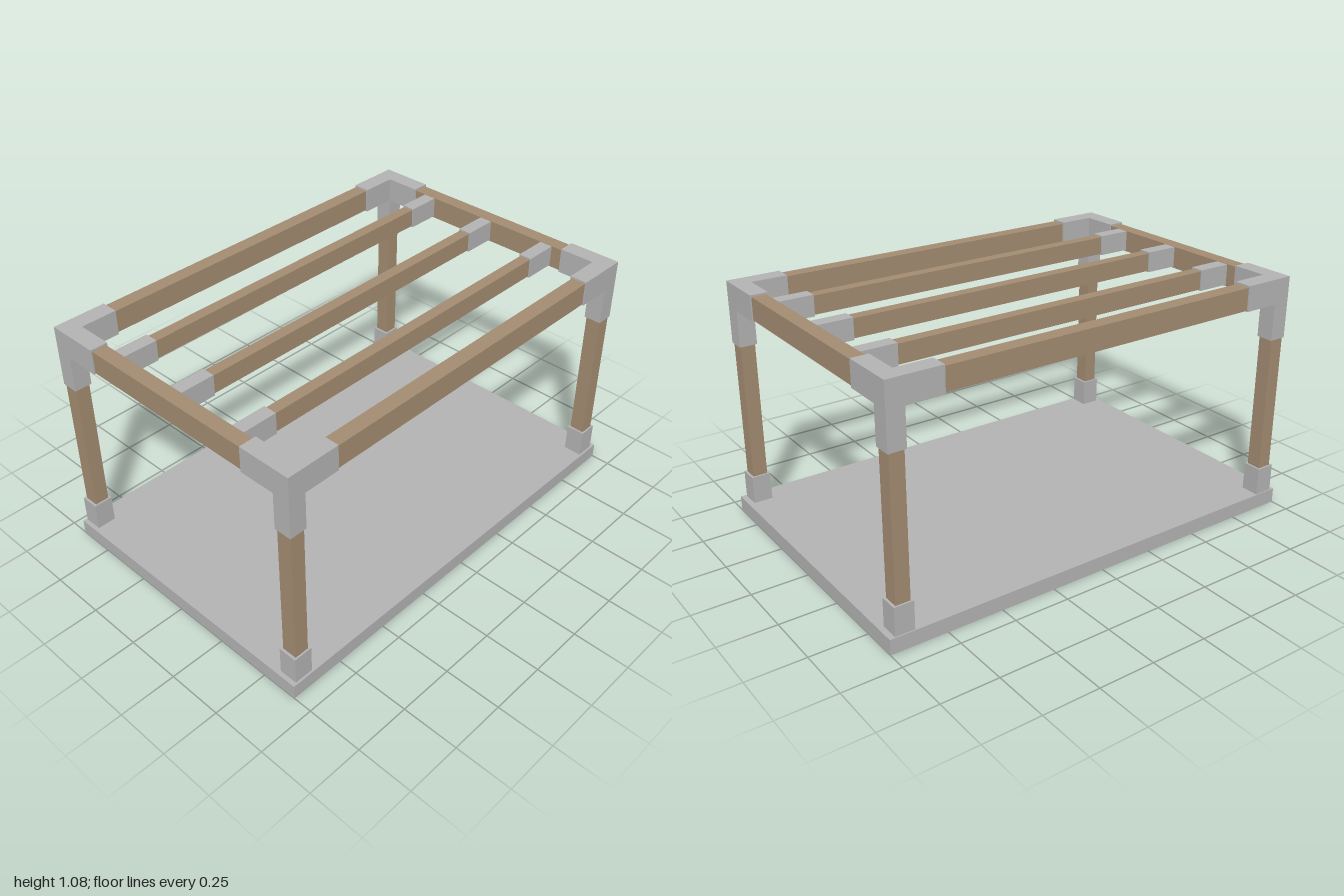
import * as THREE from 'three';

export function createModel() {
  const metal = new THREE.MeshStandardMaterial({ name: 'grey', color: 0xb3b3b3 });
  const wood = new THREE.MeshStandardMaterial({ name: 'timber', color: 0xa38c72 });
  const model = new THREE.Group();
  model.name = 'pergola';

  // Box given by its extents on each axis
  function box(name, parent, material, [x0, x1], [y0, y1], [z0, z1]) {
    const mesh = new THREE.Mesh(
      new THREE.BoxGeometry(Math.abs(x1 - x0), y1 - y0, Math.abs(z1 - z0)), material);
    mesh.position.set((x0 + x1) / 2, (y0 + y1) / 2, (z0 + z1) / 2);
    mesh.name = name;
    parent.add(mesh);
  }

  // Ground slab
  box('baseSlab', model, metal, [-0.665, 0.665], [0, 0.067], [-1, 1]);

  const frame = new THREE.Group();
  frame.name = 'frame';
  frame.position.set(-0.002, 0, 0.003);
  model.add(frame);

  // Posts with foot sockets and three-way corner brackets
  for (const sx of [-1, 1]) for (const sz of [-1, 1]) {
    const corner = new THREE.Group();
    corner.name = 'corner';
    frame.add(corner);
    const X = (a, b) => [sx * a, sx * b];
    const Z = (a, b) => [sz * a, sz * b];
    box('footSocket', corner, metal, X(0.575, 0.658), [0.067, 0.192], Z(0.893, 0.978));
    box('post', corner, wood, X(0.583, 0.65), [0.19, 0.81], Z(0.903, 0.967));
    box('bracketLeg', corner, metal, X(0.577, 0.655), [0.802, 1.075], Z(0.896, 0.973));
    box('bracketSideArm', corner, metal, X(0.417, 0.577), [0.964, 1.075], Z(0.896, 0.973));
    box('bracketLongArm', corner, metal, X(0.577, 0.655), [0.964, 1.075], Z(0.735, 0.896));
  }

  // Perimeter beams
  for (const s of [-1, 1]) {
    box('crossBeam', frame, wood, [-0.43, 0.43], [0.968, 1.067], [s * 0.903, s * 0.967]);
    box('sideBeam', frame, wood, [s * 0.585, s * 0.65], [0.968, 1.067], [-0.75, 0.75]);
  }

  // Rafters held by hangers at both ends
  for (const x of [-0.333, 0, 0.333]) {
    box('rafter', frame, wood, [x - 0.025, x + 0.025], [0.979, 1.06], [-0.76, 0.76]);
    for (const s of [-1, 1])
      box('rafterHanger', frame, metal, [x - 0.03, x + 0.03], [0.974, 1.066], [s * 0.75, s * 0.903]);
  }
  return model;
}
